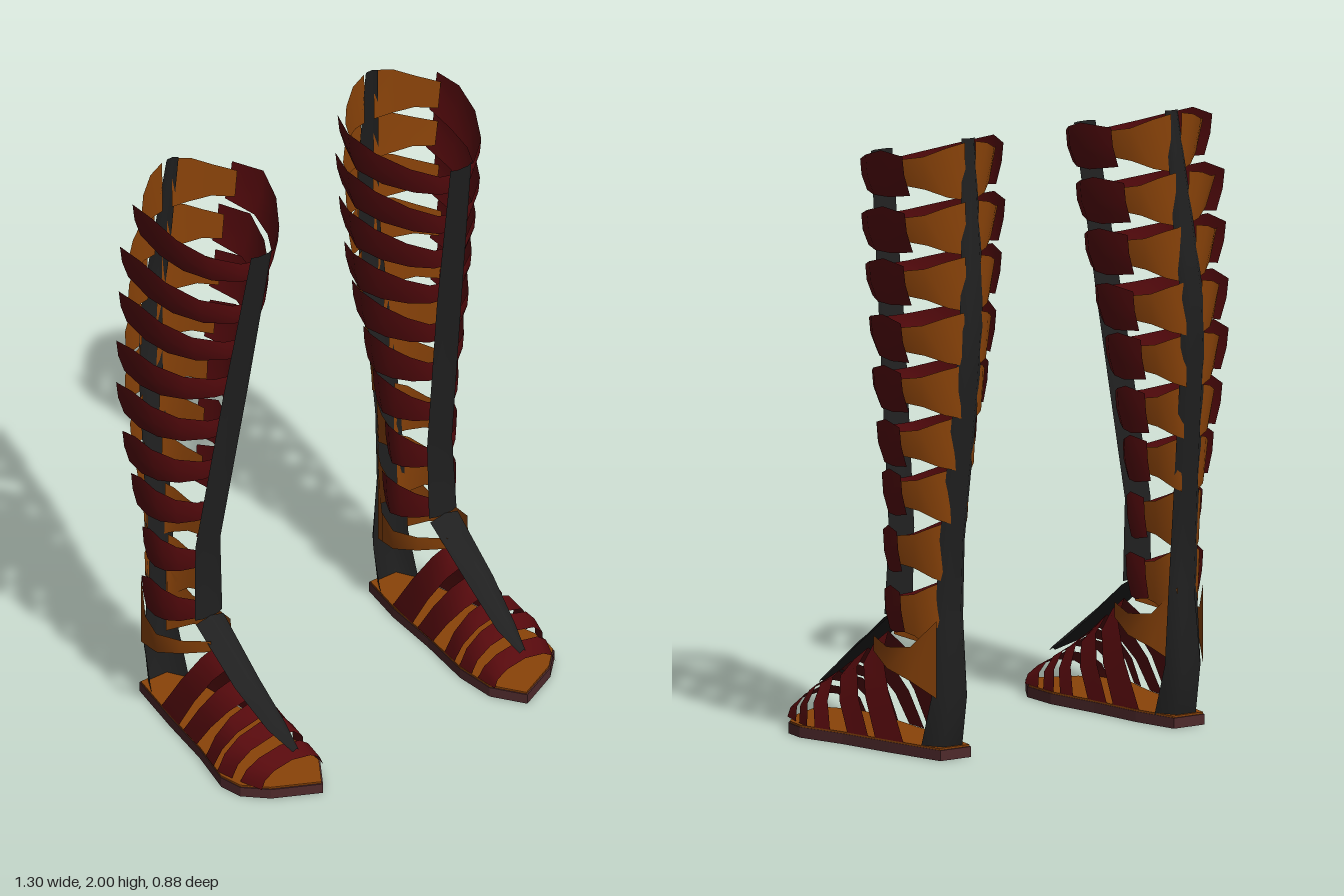
import * as THREE from 'three';

const mat = (name, color) => new THREE.MeshStandardMaterial({ name, color, side: THREE.DoubleSide });

// Piecewise linear lookup in a list of [key, value...] rows with rising keys
function lookup(table, k) {
  let i = 0;
  while (i < table.length - 2 && k > table[i + 1][0]) i++;
  const a = table[i], b = table[i + 1];
  const t = THREE.MathUtils.clamp((k - a[0]) / (b[0] - a[0]), 0, 1);
  return a.slice(1).map((v, j) => v + (b[j + 1] - v) * t);
}

// Sheet through rows of points, each row having the same count
function sheet(rows) {
  const n = rows[0].length, index = [];
  for (let i = 0; i < rows.length - 1; i++)
    for (let j = 0; j < n - 1; j++) {
      const a = i * n + j, b = a + n;
      index.push(a, b, a + 1, a + 1, b, b + 1);
    }
  const g = new THREE.BufferGeometry();
  g.setAttribute('position', new THREE.Float32BufferAttribute(rows.flat(2), 3));
  g.setIndex(index);
  g.computeVertexNormals();
  return g;
}

// y, centre x, centre z, half width, depth of the wrapped edges
const backStrap = [
  [0.03, 0.46, -0.365, 0.075, 0.085], [0.2, 0.46, -0.39, 0.07, 0.06], [0.45, 0.46, -0.36, 0.055, 0.03],
  [0.7, 0.46, -0.375, 0.05, 0.03], [1.2, 0.445, -0.43, 0.048, 0.025], [1.4, 0.435, -0.44, 0.045, 0.025],
  [1.6, 0.42, -0.42, 0.042, 0.025], [2.0, 0.4, -0.365, 0.025, 0.015]];
// Shin strap: y, centre x, centre z, half width, edge depth
const shinStrap = [
  [0.43, 0.47, -0.06, 0.055, 0.012], [0.7, 0.465, -0.07, 0.05, 0.012],
  [1.3, 0.43, 0.025, 0.05, 0.012], [1.89, 0.4, 0.125, 0.042, 0.012]];
const instepStrap = [
  [0.14, 0.455, 0.365, 0.012, 0.005], [0.2, 0.46, 0.28, 0.035, 0.02],
  [0.3, 0.47, 0.14, 0.048, 0.025], [0.43, 0.47, -0.06, 0.055, 0.012]];

// Leg bands: inner x, outer x, front z, front y, back z, back y
const bands = [
  [0.17, 0.615, 0.12, 1.825, -0.27, 1.89], [0.195, 0.635, 0.095, 1.655, -0.31, 1.715],
  [0.21, 0.64, 0.058, 1.5, -0.31, 1.545], [0.235, 0.65, 0.017, 1.34, -0.31, 1.36],
  [0.27, 0.65, -0.008, 1.17, -0.31, 1.2], [0.305, 0.64, -0.038, 1.0, -0.29, 1.02],
  [0.33, 0.62, -0.062, 0.83, -0.27, 0.86], [0.35, 0.605, -0.073, 0.645, -0.23, 0.67],
  [0.345, 0.6, -0.068, 0.455, -0.24, 0.475]];

// Band profile: share inward, share outward, share backward, height above and below
const bandCurve = [[0, 0, 0, 0.035, 0.038], [0.3, 0.3, 0.04, 0.038, 0.04], [0.6, 0.68, 0.2, 0.052, 0.05],
  [0.87, 0.92, 0.45, 0.07, 0.062], [1, 1, 0.72, 0.085, 0.07], [0.82, 0.98, 1, 0.062, 0.068]];
// Calf tooth: share outward, share forward, share of the full height
const toothCurve = [[0, 0, 1], [0.35, 0.15, 0.86], [0.7, 0.5, 0.58], [1, 1, 0.46]];
// Foot arch: share across, share of the rise
const archCurve = [[0, 0], [0.05, 0.45], [0.2, 0.8], [0.5, 1], [0.8, 0.8], [0.95, 0.45], [1, 0]];

// Sole outline as x, z
const outline = [[0.4, -0.365], [0.52, -0.365], [0.565, -0.15], [0.6, 0.05], [0.645, 0.22], [0.63, 0.3],
  [0.56, 0.37], [0.41, 0.445], [0.34, 0.34], [0.33, 0.2], [0.355, 0], [0.37, -0.2]];
const soleEdges = [[-0.36, 0.4, 0.52], [-0.15, 0.367, 0.565], [0.05, 0.35, 0.6], [0.2, 0.333, 0.64], [0.36, 0.345, 0.59]];

// Foot straps: base back z, base front z, top back z, top front z
const footStraps = [[-0.21, -0.09, -0.01, 0.06], [-0.06, 0.03, 0.09, 0.16], [0.1, 0.16, 0.17, 0.22],
  [0.19, 0.25, 0.23, 0.28], [0.28, 0.36, 0.31, 0.36]];

const instepY = z => 0.43 - (z + 0.06) * 0.69;

function createSandal(s, m) {
  const sandal = new THREE.Group();
  const add = (name, geometry, material) => {
    const mesh = new THREE.Mesh(geometry, material);
    mesh.name = name;
    sandal.add(mesh);
  };
  const addSheet = (name, rows, material) =>
    add(name, sheet(rows.map(r => r.map(([x, y, z]) => [s * x, y, z]))), material);

  // Sole and insole
  const slab = (depth, y, shrink) => {
    const pts = outline.map(([x, z]) =>
      new THREE.Vector2(s * (0.48 + (x - 0.48) * shrink), -(0.03 + (z - 0.03) * shrink)));
    return new THREE.ExtrudeGeometry(new THREE.Shape(pts), { depth, bevelEnabled: false })
      .rotateX(-Math.PI / 2).translate(0, y, 0);
  };
  add('sole', slab(0.034, 0, 1), m.sole);
  add('insole', slab(0.006, 0.034, 0.985), m.leather);

  // Long straps along heel and calf, shin and instep
  const longStrap = (name, table, dir) => addSheet(name, table.map(([y, x, z, w, d]) => [
    [x - w, y, z + dir * d], [x - w * 0.5, y, z + dir * d * 0.2],
    [x + w * 0.5, y, z + dir * d * 0.2], [x + w, y, z + dir * d]]), m.strap);
  longStrap('backStrap', backStrap, 1);
  longStrap('shinStrap', shinStrap, -1);
  addSheet('instepStrap', instepStrap.map(([y, x, z, w, d]) =>
    [[x - w, y - d, z - d * 0.5], [x, y + 0.005, z], [x + w, y - d, z - d * 0.5]]), m.strap);

  bands.forEach(([xi, xo, zf, yf, zb, yb], i) => {
    // Flared band around the front of the leg
    const cx = lookup(shinStrap, yf)[0];
    const half = (xe, col) => bandCurve.map(row => {
      const [, , g, up, down] = row;
      const x = cx + (xe - cx) * row[col], z = zf - 0.014 + (zb - zf) * g, y = yf + (yb - yf) * g;
      const inset = (cx - x) * 0.15;
      return [[x, y + up, z], [x + inset * 0.25, y, z], [x + inset, y - down, z - 0.01 * (1 - g)]];
    });
    addSheet('legBand', [...half(xi, 0).reverse(), ...half(xo, 1).slice(1)], m.band);

    // Tapered calf teeth reaching from the back strap to the band ends
    const up = i ? (bands[i - 1][5] - yb) / 2 : 0.1;
    const down = i < 8 ? (yb - bands[i + 1][5]) / 2 : 0.14;
    const [bx, bz, bw, bd] = lookup(backStrap, yb);
    for (const [xe, dir, reach] of [[xi, -1, 0.8], [xo, 1, 0.93]]) {
      const tip = cx + (xe - cx) * reach, root = bx + dir * bw * 0.7;
      const z0 = bz + bd * 0.6;
      const teeth = toothCurve.map(([f, g, k]) => {
        const x = root + (tip - root) * f, z = z0 + (zb + 0.02 - z0) * g;
        return [[x, yb + up * k, z], [x + (cx - x) * 0.1, yb - down * k, z + 0.012 * f]];
      });
      addSheet('calfTooth', teeth, m.leather);
    }
  });

  // Ankle straps from heel to instep
  for (const d of [-1, 1])
    addSheet('ankleStrap', [[0.05, -0.35, 0.2, 0.45], [0.095, -0.27, 0.25, 0.36],
      [0.12, -0.18, 0.28, 0.35], [0.1, -0.08, 0.32, 0.37], [0.04, 0, 0.345, 0.385]]
      .map(([w, z, lo, hi]) => [[0.475 + d * w, lo, z], [0.475 + d * w, hi, z]]), m.leather);

  // Arched straps over the foot
  for (const [b0, b1, t0, t1] of footStraps)
    addSheet('footStrap', archCurve.map(([t, k]) => [[b0, t0], [b1, t1]].map(([b, top]) => {
      const [xi, xo] = lookup(soleEdges, b);
      return [xi + (xo - xi) * t, 0.04 + (instepY(top) - 0.075) * k, b + (top - b) * k];
    })), m.band);
  return sandal;
}

export function createModel() {
  const m = {
    band: mat('dark red leather', 0x560a0d),
    leather: mat('tan leather', 0x8a4309),
    strap: mat('black leather', 0x202020),
    sole: mat('dark brown sole', 0x4e292b),
  };
  const model = new THREE.Group();
  for (const [name, s] of [['leftSandal', 1], ['rightSandal', -1]]) {
    const sandal = createSandal(s, m);
    sandal.name = name;
    model.add(sandal);
  }
  return model;
}
